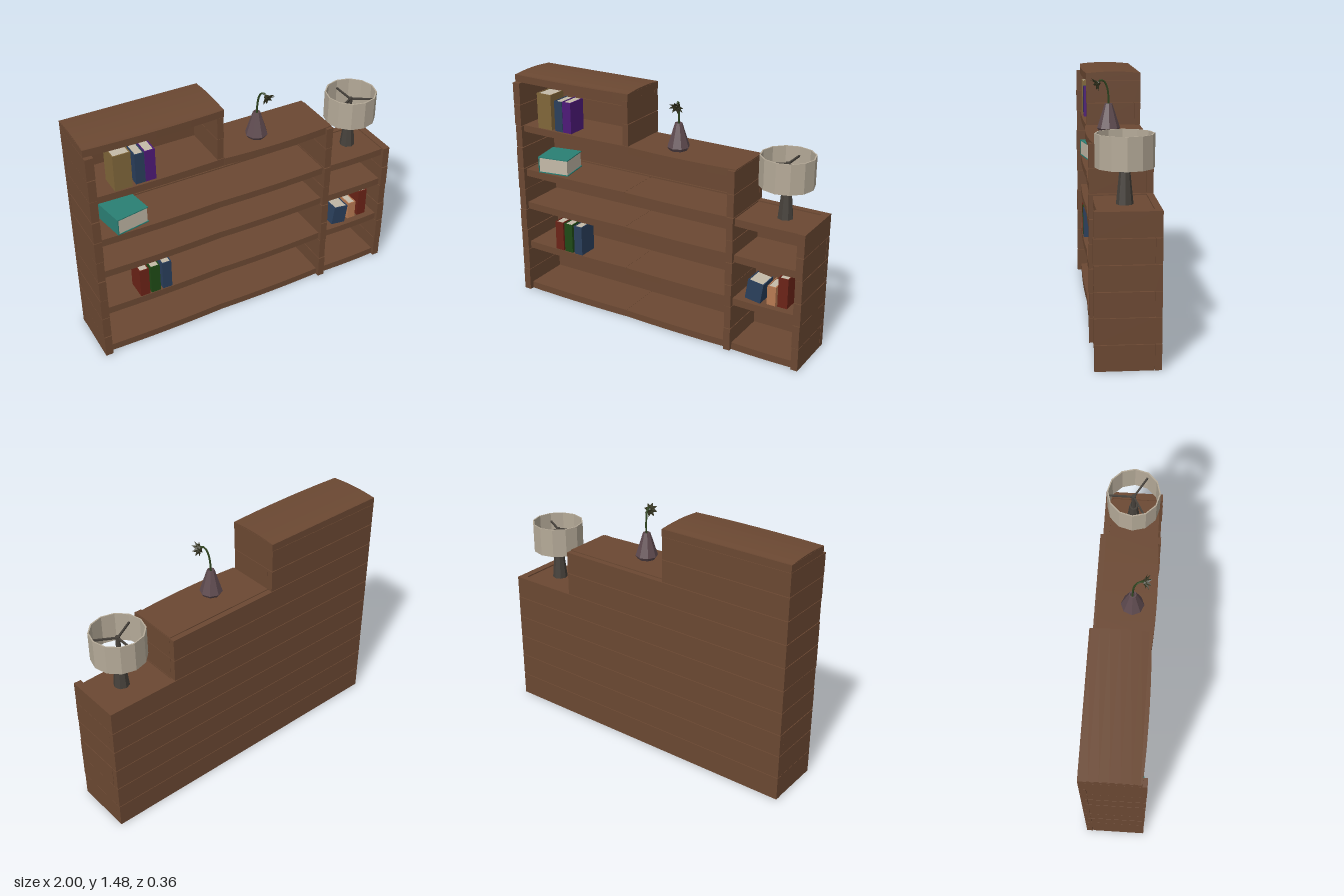
import * as THREE from 'three';

const mat = (color, extra = {}) => new THREE.MeshStandardMaterial({ color, flatShading: true, ...extra });
const wood = mat(0x6b4832);
const paper = mat(0xc4baa8);

function add(parent, name, geometry, material, x = 0, y = 0, z = 0) {
  const mesh = new THREE.Mesh(geometry, material);
  mesh.name = name;
  mesh.position.set(x, y, z);
  parent.add(mesh);
  return mesh;
}

// Board given by its limits; bow pushes the middle of its front edge outwards
function board(parent, name, x0, x1, y0, y1, z0, z1, bow = 0) {
  const g = new THREE.BoxGeometry(x1 - x0, y1 - y0, z1 - z0, bow ? 8 : 1, 1, 1);
  const p = g.attributes.position;
  for (let i = 0; i < p.count && bow; i++) {
    const u = p.getX(i) / ((x1 - x0) / 2);
    if (p.getZ(i) > 0) p.setZ(i, p.getZ(i) + bow * (1 - u * u));
  }
  g.computeVertexNormals();
  return add(parent, name, g, wood, (x0 + x1) / 2, (y0 + y1) / 2, (z0 + z1) / 2);
}

const rows = [0.005, 0.153, 0.3, 0.442, 0.585, 0.727, 0.87, 1.012, 1.153, 1.292, 1.432];

// Upright wall of stacked planks with slightly uneven front ends
function plankWall(parent, name, x0, x1, z0, z1, first, last) {
  const wall = new THREE.Group();
  wall.name = name;
  for (let i = first; i < last; i++) {
    const j = 0.002 * Math.sin(i * 2.3 + x0 * 5);
    board(wall, 'plank', x0 + Math.abs(j), x1 - Math.abs(j), rows[i] + 0.002, rows[i + 1] - 0.002, z0, z1 + j);
  }
  parent.add(wall);
}

// Book standing on its lower edge, spine towards +z
function book(parent, color, w, h, d, x, y, z) {
  const g = new THREE.Group();
  g.name = 'book';
  const cover = mat(color), t = 0.006;
  for (const s of [-1, 1]) add(g, 'cover', new THREE.BoxGeometry(t, h, d), cover, s * (w - t) / 2, h / 2, 0);
  add(g, 'spine', new THREE.BoxGeometry(w - 2 * t, h, t), cover, 0, h / 2, (d - t) / 2);
  add(g, 'pages', new THREE.BoxGeometry(w - 2 * t, h - 0.008, d - t - 0.005), paper, 0, h / 2, 0);
  g.position.set(x, y, z);
  parent.add(g);
  return g;
}

function lathe(points, sides) {
  return new THREE.LatheGeometry(points.map(([r, y]) => new THREE.Vector2(r, y)), sides);
}

function makeBookcase() {
  const g = new THREE.Group();
  g.name = 'bookcase';

  // Upright walls
  plankWall(g, 'rightSide', -1, -0.95, -0.143, 0.178, 0, 10);
  plankWall(g, 'divider', 0.512, 0.558, -0.143, 0.178, 0, 8);
  plankWall(g, 'leftSide', 0.953, 1, -0.143, 0.178, 0, 6);
  plankWall(g, 'upperBoxSide', -0.21, -0.167, -0.143, 0.15, 8, 10);

  // Stepped back made of long planks
  for (let i = 0; i < 10; i++) {
    const right = i < 6 ? 1 : i < 8 ? 0.558 : -0.167;
    board(g, 'backPlank', -1, right - 0.001, rows[i] + 0.002, rows[i + 1] - 0.002, -0.182, -0.145 + 0.002 * (i % 2));
  }

  // Shelves, each top surface given by its height
  for (const y of [0.052, 0.352, 0.632, 0.86]) {
    board(g, 'wideShelfBoard', -0.955, -0.2, y - 0.046, y, -0.15, 0.152, 0.007);
    board(g, 'wideShelfBoard', -0.2, 0.515, y - 0.045, y - 0.001, -0.15, 0.152, 0.007);
    board(g, 'narrowShelf', 0.55, 0.96, y - 0.045, y, -0.15, 0.155, 0.005);
  }
  board(g, 'upperShelf', -0.955, -0.165, 1.113, 1.156, -0.15, 0.152, 0.008);
  board(g, 'middleTop', -0.165, 0.556, 1.111, 1.157, -0.148, 0.158, 0.016);

  // Roof with a gently crowned, bowed board
  const roof = board(g, 'roof', -1, -0.165, 1.432, 1.476, -0.182, 0.152, 0.013);
  const s = new THREE.Shape();
  s.moveTo(-0.182, 1.475);
  s.quadraticCurveTo(-0.015, 1.495, 0.152, 1.475);
  const crown = new THREE.ExtrudeGeometry(s, { depth: 0.833, bevelEnabled: false, curveSegments: 6 });
  crown.rotateY(-Math.PI / 2);
  crown.scale(1, 1, 1);
  add(g, 'roofCrown', crown, wood, -0.166, 0, 0);
  roof.name = 'roofBoard';
  return g;
}

function makeBooks() {
  const g = new THREE.Group();
  g.name = 'books';
  const d = 0.13;
  // Upper compartment
  book(g, 0x80663a, 0.105, 0.225, d, -0.785, 1.157, 0.085);
  book(g, 0x2a3f5c, 0.058, 0.193, d, -0.681, 1.157, 0.08);
  book(g, 0x4e1a78, 0.062, 0.196, d, -0.619, 1.157, 0.08);
  // Lower wide shelf
  book(g, 0x6b2317, 0.06, 0.193, d, -0.705, 0.353, 0.09);
  book(g, 0x1f4a16, 0.06, 0.193, d, -0.635, 0.353, 0.09);
  book(g, 0x2a3f5c, 0.06, 0.193, d, -0.56, 0.353, 0.09);
  // Narrow shelf
  book(g, 0x2a3f5c, 0.1, 0.125, d, 0.675, 0.36, 0.07).rotation.z = -0.14;
  book(g, 0xb87a52, 0.055, 0.12, 0.12, 0.787, 0.354, 0.06);
  book(g, 0x6b2317, 0.062, 0.188, d, 0.861, 0.36, 0.06);
  // Thick book lying flat, slightly turned
  const flat = new THREE.Group();
  flat.name = 'flatBook';
  const b = book(flat, 0x2a7f74, 0.105, 0.2, 0.205, 0, 0, 0.1);
  b.quaternion.setFromRotationMatrix(new THREE.Matrix4().makeBasis(
    new THREE.Vector3(0, 1, 0), new THREE.Vector3(0, 0, -1), new THREE.Vector3(-1, 0, 0)));
  flat.position.set(-0.76, 0.914, 0.045);
  flat.rotation.y = 0.17;
  g.add(flat);
  return g;
}

function makeLamp() {
  const g = new THREE.Group();
  g.name = 'lamp';
  const metal = mat(0x46413b);
  add(g, 'lampBase', new THREE.CylinderGeometry(0.026, 0.047, 0.21, 8), metal, 0, 0.105, 0);
  add(g, 'lampStem', new THREE.CylinderGeometry(0.013, 0.016, 0.13, 8), metal, 0, 0.27, 0);
  // Three spokes carrying the shade
  for (let i = 0; i < 3; i++) {
    const a = Math.PI + i * Math.PI * 2 / 3;
    const spoke = add(g, 'shadeSpoke', new THREE.BoxGeometry(0.01, 0.01, 0.15), metal,
      Math.sin(a) * 0.075, 0.325, Math.cos(a) * 0.075);
    spoke.rotation.y = a;
  }
  const shade = lathe([[0.152, 0.198], [0.16, 0.198], [0.16, 0.378], [0.152, 0.378], [0.152, 0.198]], 12);
  add(g, 'lampshade', shade, mat(0xb5aa98, { side: THREE.DoubleSide }));
  g.position.set(0.796, 0.865, 0);
  return g;
}

function makeVase() {
  const g = new THREE.Group();
  g.name = 'vaseWithFlower';
  const body = lathe([[0, 0], [0.054, 0], [0.068, 0.02], [0.022, 0.164], [0.015, 0.164], [0.012, 0.11], [0, 0.11]], 8);
  add(g, 'vase', body, mat(0x5e4a4f, { side: THREE.DoubleSide }));

  // Drooping stem
  const path = new THREE.CatmullRomCurve3([[0, 0.1, 0], [0.003, 0.2, 0], [0.008, 0.265, 0.01],
    [0.015, 0.3, 0.032], [0.024, 0.298, 0.058]].map(p => new THREE.Vector3(...p)));
  add(g, 'stem', new THREE.TubeGeometry(path, 12, 0.006, 5), mat(0x2f4420));

  // Flower head facing forwards and down
  const flower = new THREE.Group();
  flower.name = 'flower';
  const petalMat = mat(0x33331f);
  add(flower, 'flowerCentre', new THREE.IcosahedronGeometry(0.017, 0), petalMat);
  for (let i = 0; i < 8; i++) {
    const petal = new THREE.ConeGeometry(0.018, 0.045, 4);
    petal.scale(1, 1, 0.45);
    petal.translate(0, 0.028, 0);
    petal.rotateX(0.45);
    petal.rotateZ(i * Math.PI / 4);
    add(flower, 'petal', petal, petalMat);
  }
  flower.position.set(0.027, 0.285, 0.064);
  flower.rotation.set(0.5, 0.2, 0);
  g.add(flower);
  g.position.set(0.11, 1.157, 0.035);
  return g;
}

export function createModel() {
  const model = new THREE.Group();
  model.name = 'steppedBookcase';
  model.add(makeBookcase(), makeBooks(), makeLamp(), makeVase());
  return model;
}
